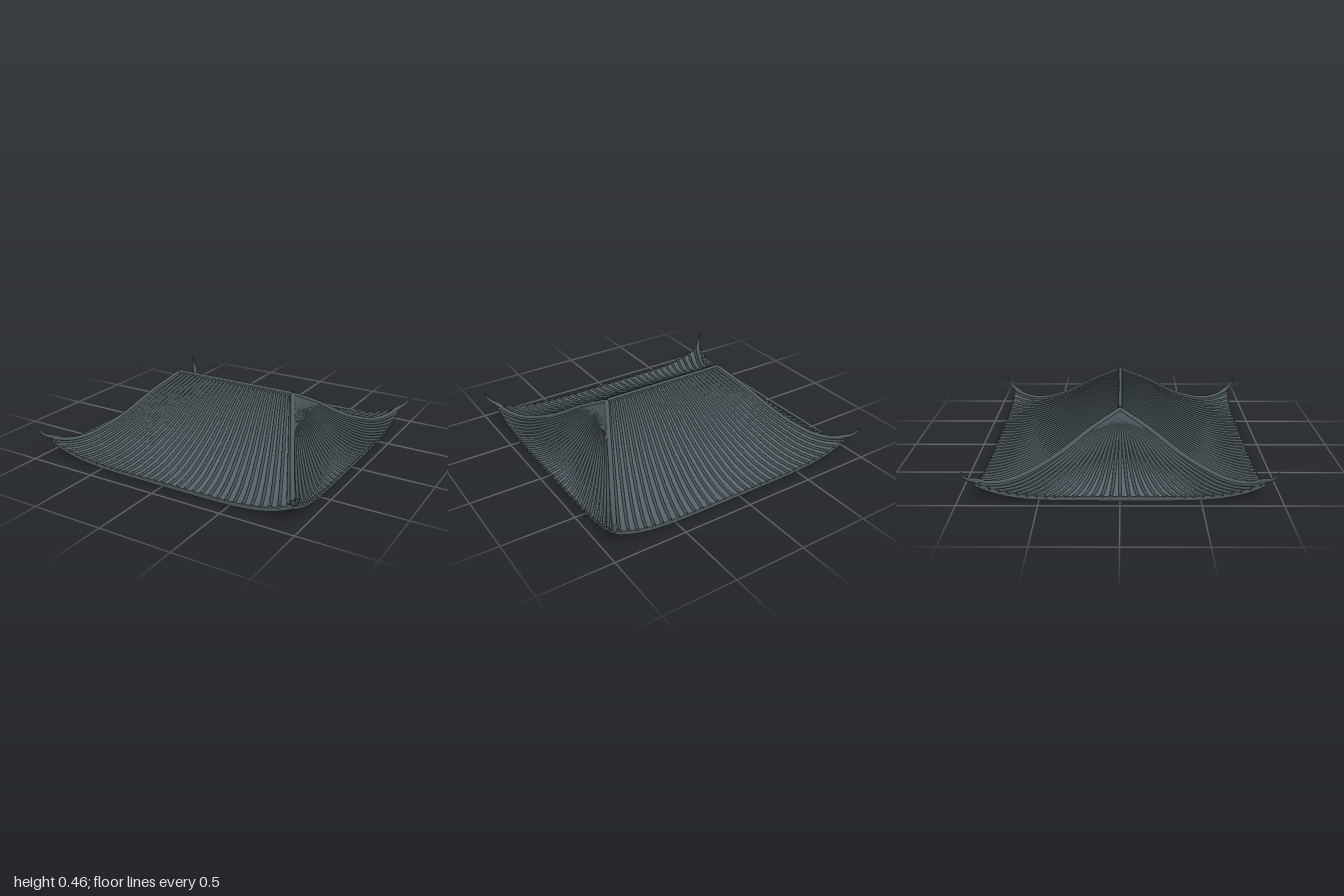
import * as THREE from 'three';
import { mergeGeometries } from 'three/addons/utils/BufferGeometryUtils.js';

const RIDGE = 0.47, HALF_X = 0.93, HALF_Z = 0.89;
const RIBS = 31;

const mat = (color) => new THREE.MeshStandardMaterial({ color, side: THREE.DoubleSide });

// Sagging roof section: x is distance from ridge (0) to eave (1), y is height
const section = new THREE.SplineCurve([
  [0, 0.435], [0.22, 0.33], [0.45, 0.195], [0.67, 0.097], [0.79, 0.057], [0.9, 0.036], [1, 0.03],
].map(([t, y]) => new THREE.Vector2(t, y)));

function sectionHeight(t) {
  let lo = 0, hi = 1;
  for (let i = 0; i < 24; i++) {
    const mid = (lo + hi) / 2;
    if (section.getPoint(mid).x < t) lo = mid; else hi = mid;
  }
  return section.getPoint(lo).y;
}

// Point on a slope: s runs along the eave (-1..1), t from ridge to eave (0..1)
function slopePoint(p, s, t) {
  const half = p.topHalf + (p.eaveHalf - p.topHalf) * t;
  const lift = 0.1 * Math.abs(s) ** 5 * t ** 5;
  return new THREE.Vector3(s * half, sectionHeight(t) + lift, p.start + (p.end - p.start) * t);
}

// Grid sheet whose vertices come from fn(s, t)
function sheet(fn, nu, nv) {
  const geo = new THREE.PlaneGeometry(1, 1, nu, nv);
  const pos = geo.attributes.position, uv = geo.attributes.uv;
  for (let i = 0; i < pos.count; i++) {
    const v = fn(uv.getX(i) * 2 - 1, 1 - uv.getY(i));
    pos.setXYZ(i, v.x, v.y, v.z);
  }
  geo.computeVertexNormals();
  return geo;
}

// Round bar along points, with radius varying by scale(t) and a flat end cap
function bar(points, radius, segments, sides, scale = () => 1) {
  const curve = new THREE.CatmullRomCurve3(points);
  const tube = new THREE.TubeGeometry(curve, segments, radius, sides);
  const pos = tube.attributes.position, v = new THREE.Vector3();
  for (let i = 0; i <= segments; i++) {
    const centre = curve.getPointAt(i / segments);
    for (let j = 0; j <= sides; j++) {
      const k = i * (sides + 1) + j;
      v.fromBufferAttribute(pos, k).sub(centre).multiplyScalar(scale(i / segments)).add(centre);
      pos.setXYZ(k, v.x, v.y, v.z);
    }
  }
  const cap = new THREE.CircleGeometry(radius * scale(1), sides);
  cap.applyQuaternion(new THREE.Quaternion().setFromUnitVectors(
    new THREE.Vector3(0, 0, 1), curve.getTangentAt(1)));
  const end = curve.getPointAt(1);
  cap.translate(end.x, end.y, end.z);
  return mergeGeometries([tube, cap]);
}

export function createModel() {
  const model = new THREE.Group();
  model.name = 'hipRoof';
  const tileMat = mat(0x566266), ribMat = mat(0x465255), trimMat = mat(0x4f5b5e);
  const add = (parent, name, geo, material) => {
    const mesh = new THREE.Mesh(geo, material);
    mesh.name = name;
    parent.add(mesh);
    return mesh;
  };

  // Slopes: two long ones meeting at the ridge, two end ones fanning from its tips
  const long = { topHalf: RIDGE, eaveHalf: HALF_X, start: 0, end: HALF_Z };
  const short = { topHalf: 0, eaveHalf: HALF_Z, start: RIDGE, end: HALF_X };
  ['front', 'left', 'back', 'right'].forEach((side, n) => {
    const p = n % 2 ? short : long;
    const slope = new THREE.Group();
    slope.name = side + 'Slope';
    slope.rotation.y = n * Math.PI / 2;
    model.add(slope);

    add(slope, 'tileBed', sheet((s, t) => slopePoint(p, s, t), 48, 24), tileMat);

    // Thin board hanging under the eave, following its curve
    add(slope, 'eaveBoard', sheet((s, t) => {
      const v = slopePoint(p, s, 1);
      v.y += 0.003 - 0.028 * t;
      return v;
    }, 48, 1), trimMat);

    // Round tile ribs running from ridge to eave
    const ribs = [];
    for (let i = 0; i < RIBS; i++) {
      const s = ((i + 0.5) / RIBS) * 2 - 1;
      const pts = [];
      for (let k = 0; k <= 14; k++) {
        const v = slopePoint(p, s, k / 14);
        v.y += 0.004;
        pts.push(v);
      }
      pts[14].z += 0.004;
      ribs.push(bar(pts, 0.01, 22, 8));
    }
    add(slope, 'tileRibs', mergeGeometries(ribs), ribMat);
  });

  // Hip bars along the corners, each ending in an upturned tapering horn
  for (const sx of [1, -1]) for (const sz of [1, -1]) {
    const place = (v) => new THREE.Vector3(v.x * sx, v.y, v.z * sz);
    const hip = [];
    for (let k = 0; k <= 14; k++) {
      const v = slopePoint(long, 1, k / 14);
      v.y += 0.008;
      hip.push(place(v));
    }
    add(model, 'hipBar', bar(hip, 0.015, 32, 10), trimMat);

    const horn = [[0.905, 0.12, 0.85], [0.93, 0.142, 0.885], [0.96, 0.16, 0.918],
      [0.983, 0.187, 0.94], [0.996, 0.224, 0.952]].map(([x, y, z]) => place({ x, y, z }));
    add(model, 'cornerHorn', bar(horn, 0.018, 20, 10, (t) => 1 - 0.75 * t), trimMat);
  }

  // Ridge: a low beam topped by a round capping
  const beam = add(model, 'ridgeBeam', new THREE.BoxGeometry(RIDGE * 2, 0.026, 0.03), trimMat);
  beam.position.y = 0.436;
  const cap = add(model, 'ridgeCap', new THREE.CylinderGeometry(0.012, 0.012, RIDGE * 2 - 0.01, 12), trimMat);
  cap.rotation.z = Math.PI / 2;
  cap.position.y = 0.449;

  return model;
}
